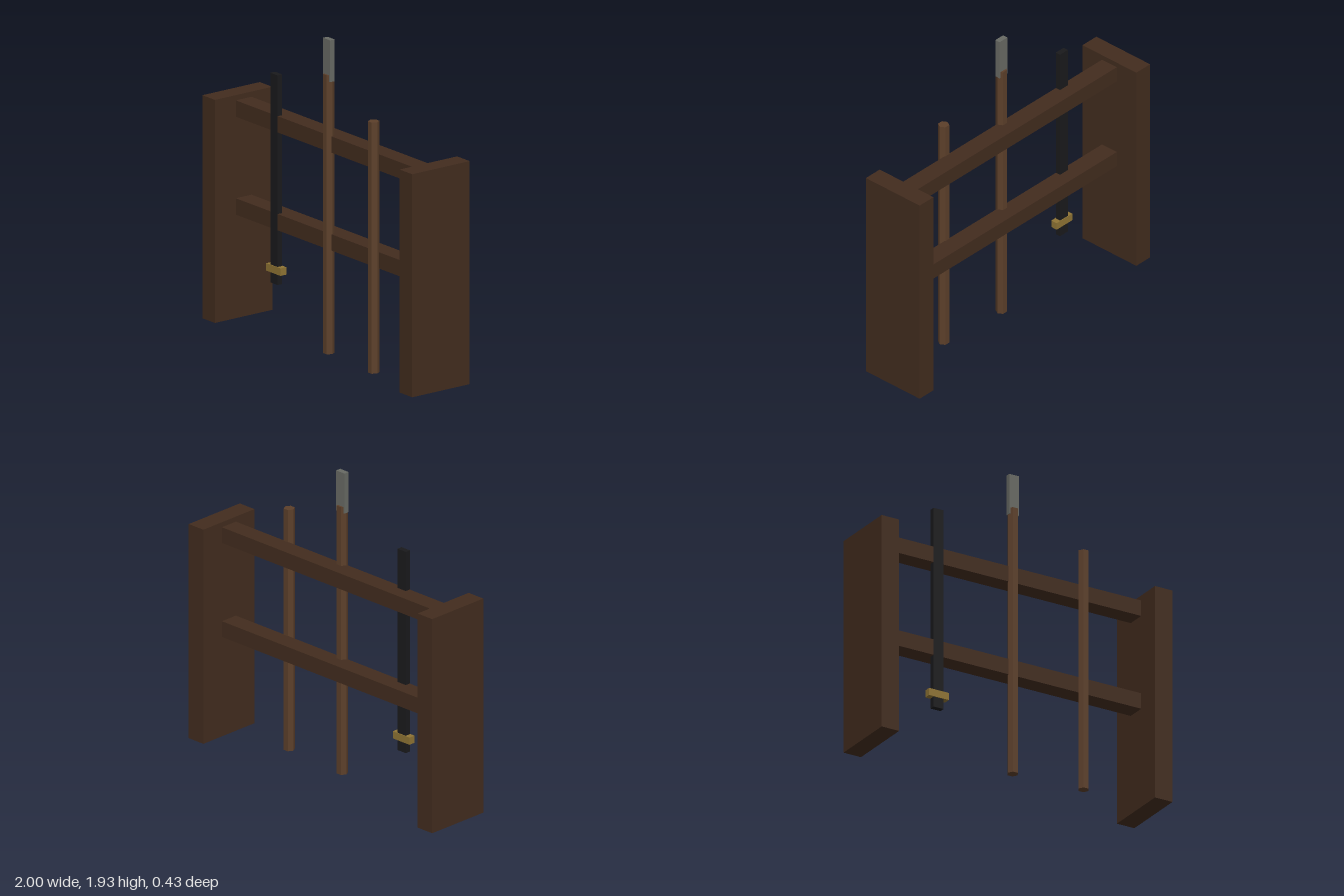
import * as THREE from 'three';

const paint = (color) => new THREE.MeshStandardMaterial({ color, flatShading: true });

export function createModel() {
  const rack = new THREE.Group();
  rack.name = 'weaponRack';
  const darkWood = paint(0x422c1e);
  const lightWood = paint(0x5c3f2a);
  const steel = paint(0x686a64);
  const black = paint(0x1a1a1c);
  const brass = paint(0x8f7434);

  const add = (name, geometry, material, x, y, z) => {
    const mesh = new THREE.Mesh(geometry, material);
    mesh.name = name;
    mesh.position.set(x, y, z);
    rack.add(mesh);
    return mesh;
  };
  const box = (name, material, [w, h, d], [x, y, z]) =>
    add(name, new THREE.BoxGeometry(w, h, d), material, x, y, z);
  // Hexagonal pole standing on the ground, corners pointing sideways
  const pole = (name, height, x, z) => {
    const geometry = new THREE.CylinderGeometry(0.034, 0.034, height, 6);
    geometry.rotateY(Math.PI / 6);
    return add(name, geometry, lightWood, x, height / 2, z);
  };

  // Frame: two upright side boards joined by two rails
  for (const [name, side] of [['leftBoard', 1], ['rightBoard', -1]]) {
    box(name, darkWood, [0.12, 1.367, 0.427], [side * 0.94, 0.6835, 0]);
  }
  box('upperRail', darkWood, [1.76, 0.1, 0.117], [0, 1.285, 0]);
  box('lowerRail', darkWood, [1.76, 0.1, 0.117], [0, 0.685, 0]);

  // Sword with its crossguard
  box('swordBlade', black, [0.068, 1.285, 0.034], [-0.514, 0.9425, 0.043]);
  box('swordGuard', brass, [0.136, 0.046, 0.043], [-0.514, 0.388, 0.043]);

  // Spear: pole and steel head
  pole('spearShaft', 1.71, 0, 0.053);
  box('spearHead', steel, [0.068, 0.256, 0.034], [0, 1.798, 0.053]);

  // Plain staff
  pole('staff', 1.54, 0.467, 0.084);

  return rack;
}
